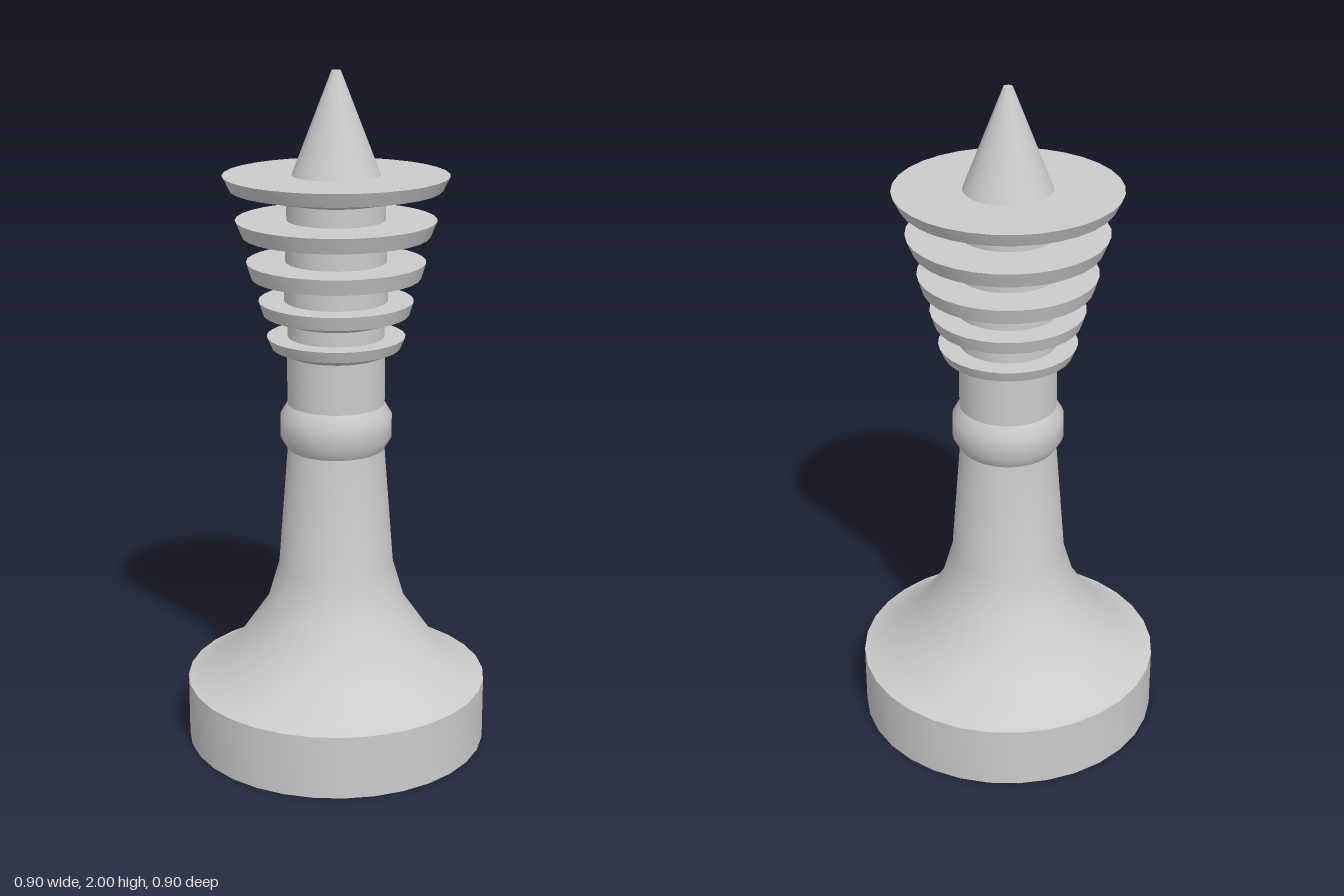
import * as THREE from 'three';
import { toCreasedNormals } from 'three/addons/utils/BufferGeometryUtils.js';

const SIDES = 32;

export function createModel() {
  const group = new THREE.Group();
  const material = new THREE.MeshStandardMaterial({ color: 0xcccccc });

  // Turned part from a bottom-to-top [radius, height] profile.
  function turn(name, profile, crease) {
    const points = profile.map(([r, y]) => new THREE.Vector2(r, y));
    const geometry = toCreasedNormals(new THREE.LatheGeometry(points, SIDES), crease);
    const mesh = new THREE.Mesh(geometry, material);
    mesh.name = name;
    group.add(mesh);
  }

  // Drum base, flared foot and tapering stem
  turn('baseAndStem', [
    [0, 0], [0.448, 0], [0.448, 0.19], [0.43, 0.195],
    [0.31, 0.278], [0.205, 0.43], [0.17, 0.55], [0.142, 0.91],
  ], 0.8);

  // Rounded collar around the stem
  turn('collar', [
    [0.142, 0.91], [0.163, 0.945], [0.163, 1.01], [0.142, 1.045],
  ], 0.8);

  // Neck sections, stacked through the discs
  const necks = [
    [0.142, 1.045, 1.23], [0.14, 1.23, 1.34], [0.149, 1.34, 1.45],
    [0.145, 1.45, 1.57], [0.141, 1.57, 1.70],
  ];
  necks.forEach(([r, y0, y1], i) => turn(`neck${i + 1}`, [[r, y0], [r, y1]], 0.4));

  // Crown discs: [bottomY, edgeRadius, edgeY, topRadius, topY]
  const discs = [
    [1.187, 0.186, 1.212, 0.2, 1.245],
    [1.283, 0.21, 1.31, 0.223, 1.35],
    [1.395, 0.243, 1.417, 0.257, 1.463],
    [1.512, 0.268, 1.537, 0.287, 1.583],
    [1.633, 0.302, 1.67, 0.322, 1.71],
  ];
  discs.forEach(([y0, edgeR, edgeY, topR, topY], i) => turn(`crownDisc${i + 1}`, [
    [0.13, y0], [edgeR, edgeY], [topR, topY], [0.1, topY],
  ], 0.4));

  // Pointed finial with a tiny flat tip
  turn('finial', [[0.126, 1.71], [0.013, 2], [0, 2]], 0.4);

  return group;
}
